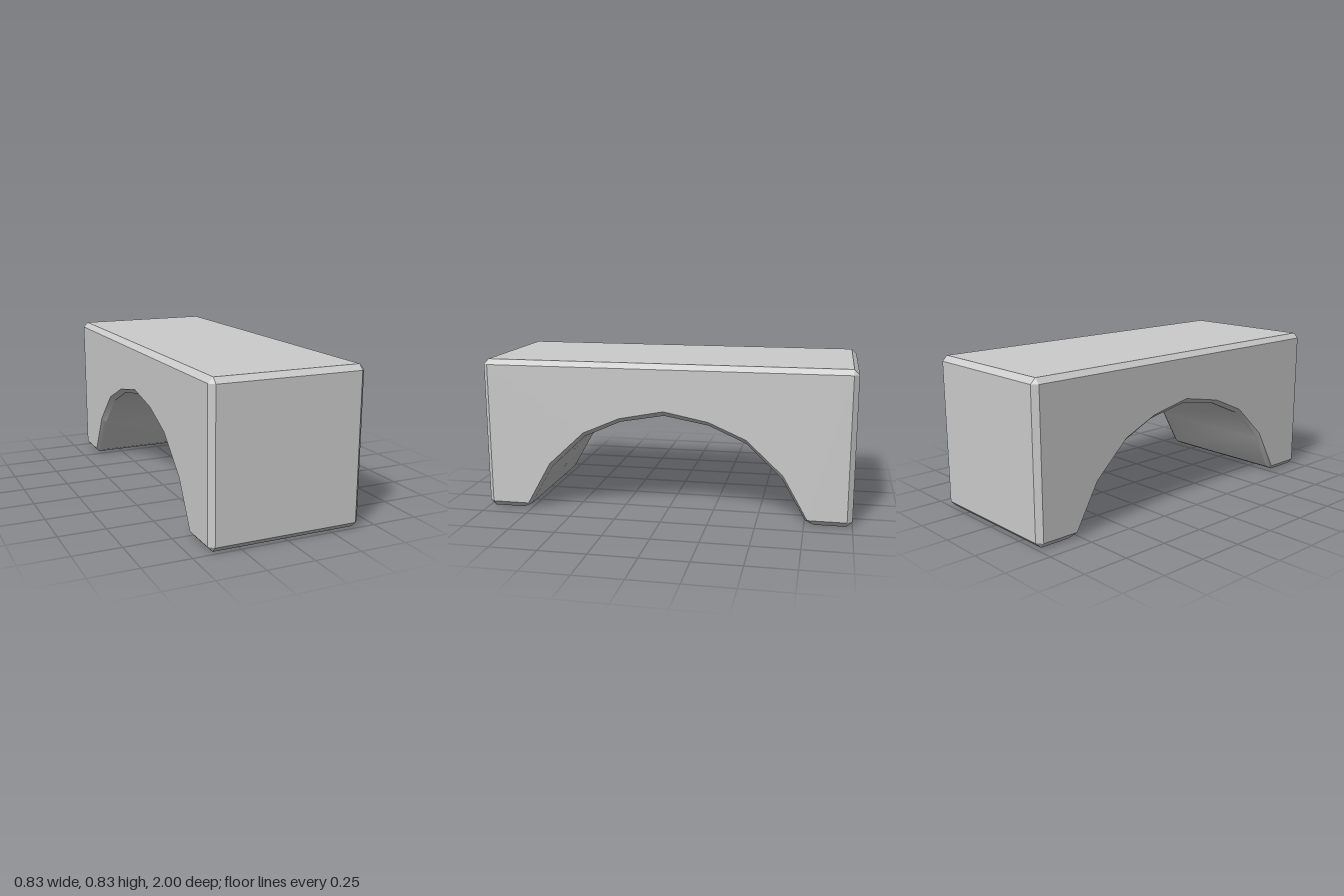
import * as THREE from 'three';
import { toCreasedNormals } from 'three/addons/utils/BufferGeometryUtils.js';

// Half outlines as [z, y], from the crown of the arch round to the top edge.
// Full-size outline, with its corners bevelled:
const body = [[0, 0.553], [0.24, 0.51], [0.44, 0.421], [0.63, 0.241], [0.755, 0.022],
  [0.8, 0], [0.97, 0], [1, 0.03], [1, 0.802], [0.972, 0.83]];
// Inset outline of the flat sides; repeated points close the corner bevels:
const side = [[0, 0.58], [0.24, 0.533], [0.44, 0.446], [0.635, 0.264], [0.767, 0.03],
  [0.767, 0.03], [0.972, 0.03], [0.972, 0.03], [0.972, 0.802], [0.972, 0.802]];

const mirrorOutline = (half) => [...half, ...half.slice(1).reverse().map(([z, y]) => [-z, y])];

function bevelledArch() {
  const inner = mirrorOutline(body);
  const outer = mirrorOutline(side);
  const rings = [[-0.413, outer], [-0.386, inner], [0.386, inner], [0.413, outer]]
    .map(([x, outline]) => outline.map(([z, y]) => new THREE.Vector3(x, y, z)));
  const positions = [];
  const triangle = (a, b, c) => {
    if (a.equals(b) || b.equals(c) || c.equals(a)) return;
    for (const p of [a, b, c]) positions.push(p.x, p.y, p.z);
  };

  // Skin between neighbouring outlines
  for (let k = 0; k < rings.length - 1; k++) {
    const n = rings[k].length;
    for (let i = 0; i < n; i++) {
      const j = (i + 1) % n;
      triangle(rings[k][i], rings[k + 1][i], rings[k + 1][j]);
      triangle(rings[k][i], rings[k + 1][j], rings[k][j]);
    }
  }

  // Flat sides
  for (const ring of [rings[0], rings[3]]) {
    const pts = ring.filter((p, i) => i === 0 || !p.equals(ring[i - 1]));
    const faces = THREE.ShapeUtils.triangulateShape(pts.map((p) => new THREE.Vector2(p.z, p.y)), []);
    for (const [a, b, c] of faces) {
      if (ring === rings[0]) triangle(pts[a], pts[b], pts[c]);
      else triangle(pts[a], pts[c], pts[b]);
    }
  }

  const geometry = new THREE.BufferGeometry();
  geometry.setAttribute('position', new THREE.Float32BufferAttribute(positions, 3));
  geometry.computeVertexNormals();
  return toCreasedNormals(geometry, 0.6);
}

export function createModel() {
  const group = new THREE.Group();
  group.name = 'archBlock';
  const arch = new THREE.Mesh(bevelledArch(), new THREE.MeshStandardMaterial({ color: 0xcccccc }));
  arch.name = 'bevelledArch';
  group.add(arch);
  return group;
}
